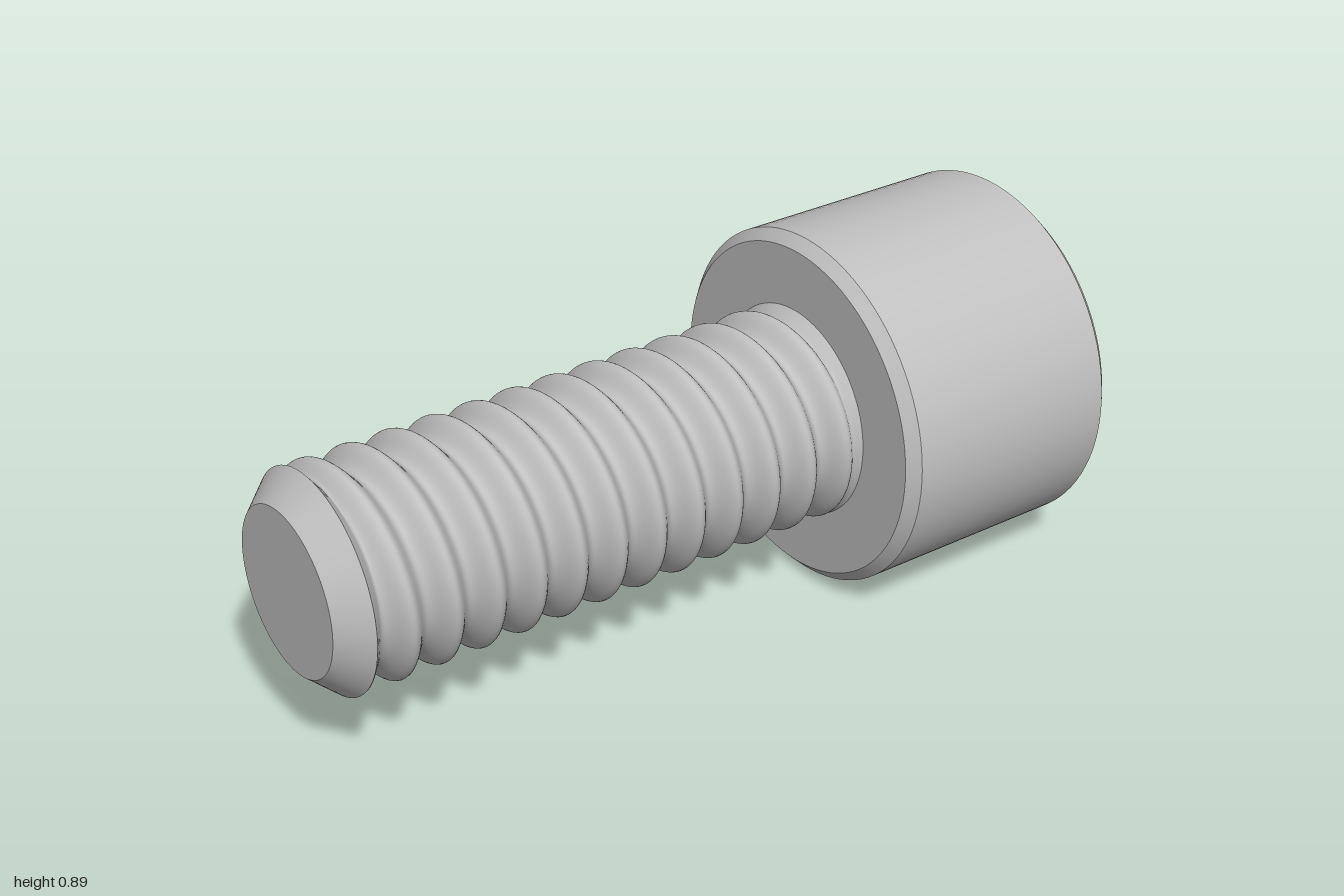
import * as THREE from 'three';
import { toCreasedNormals } from 'three/addons/utils/BufferGeometryUtils.js';

const AXIS_Y = 0.445, CREST = 0.265, ROOT = 0.222, PITCH = 0.107;
const HEAD_FRONT = -0.38, TIP_START = 0.93, TIP_R = 0.2;

// Shaft radius at depth z and angle a: right-hand thread, tip chamfer, run-out under the head
function shaftRadius(z, a) {
  if (z >= TIP_START) return TIP_R + (CREST - TIP_R) * (1 - z) / (1 - TIP_START);
  const phase = 2 * Math.PI * (z - 0.864) / PITCH - (a - Math.PI / 2);
  const thread = ROOT + (CREST - ROOT) * (0.5 + 0.5 * Math.cos(phase));
  const collar = CREST - (TIP_START - z) * 1.3;
  const runOut = CREST - (z - HEAD_FRONT) * 0.8;
  return Math.max(thread, collar, runOut);
}

// Skin of rings along z
function shaftSkin(z0, z1, rows, cols) {
  const pos = [], index = [];
  for (let i = 0; i <= rows; i++) {
    const z = z0 + (z1 - z0) * i / rows;
    for (let j = 0; j < cols; j++) {
      const a = 2 * Math.PI * j / cols, r = shaftRadius(z, a);
      pos.push(r * Math.cos(a), r * Math.sin(a), z);
      if (i < rows) {
        const k = (j + 1) % cols, p = i * cols, q = p + cols;
        index.push(p + j, p + k, q + k, p + j, q + k, q + j);
      }
    }
  }
  const g = new THREE.BufferGeometry();
  g.setAttribute('position', new THREE.Float32BufferAttribute(pos, 3));
  g.setIndex(index);
  g.computeVertexNormals();
  return g;
}

export function createModel() {
  const group = new THREE.Group();
  const steel = new THREE.MeshStandardMaterial({ color: 0xc0c0c0 });
  steel.name = 'steel';
  const add = (name, geometry) => {
    const mesh = new THREE.Mesh(geometry, steel);
    mesh.name = name;
    mesh.position.y = AXIS_Y;
    group.add(mesh);
    return mesh;
  };

  // Cylindrical head with chamfered rims
  const R = 0.445, c = 0.027;
  const profile = [[0, -1], [R - c, -1], [R, -1 + c], [R, HEAD_FRONT - c], [R - c, HEAD_FRONT], [0, HEAD_FRONT]]
    .map(([r, z]) => new THREE.Vector2(r, z));
  const head = new THREE.LatheGeometry(profile, 96).rotateX(Math.PI / 2);
  add('head', toCreasedNormals(head, 0.5));

  // Threaded shaft, chamfered tip and flat end
  add('threadedShaft', shaftSkin(HEAD_FRONT, TIP_START, 220, 96));
  add('tipChamfer', shaftSkin(TIP_START, 1, 1, 96));
  add('tipFace', new THREE.CircleGeometry(TIP_R, 96)).position.z = 1;
  return group;
}
